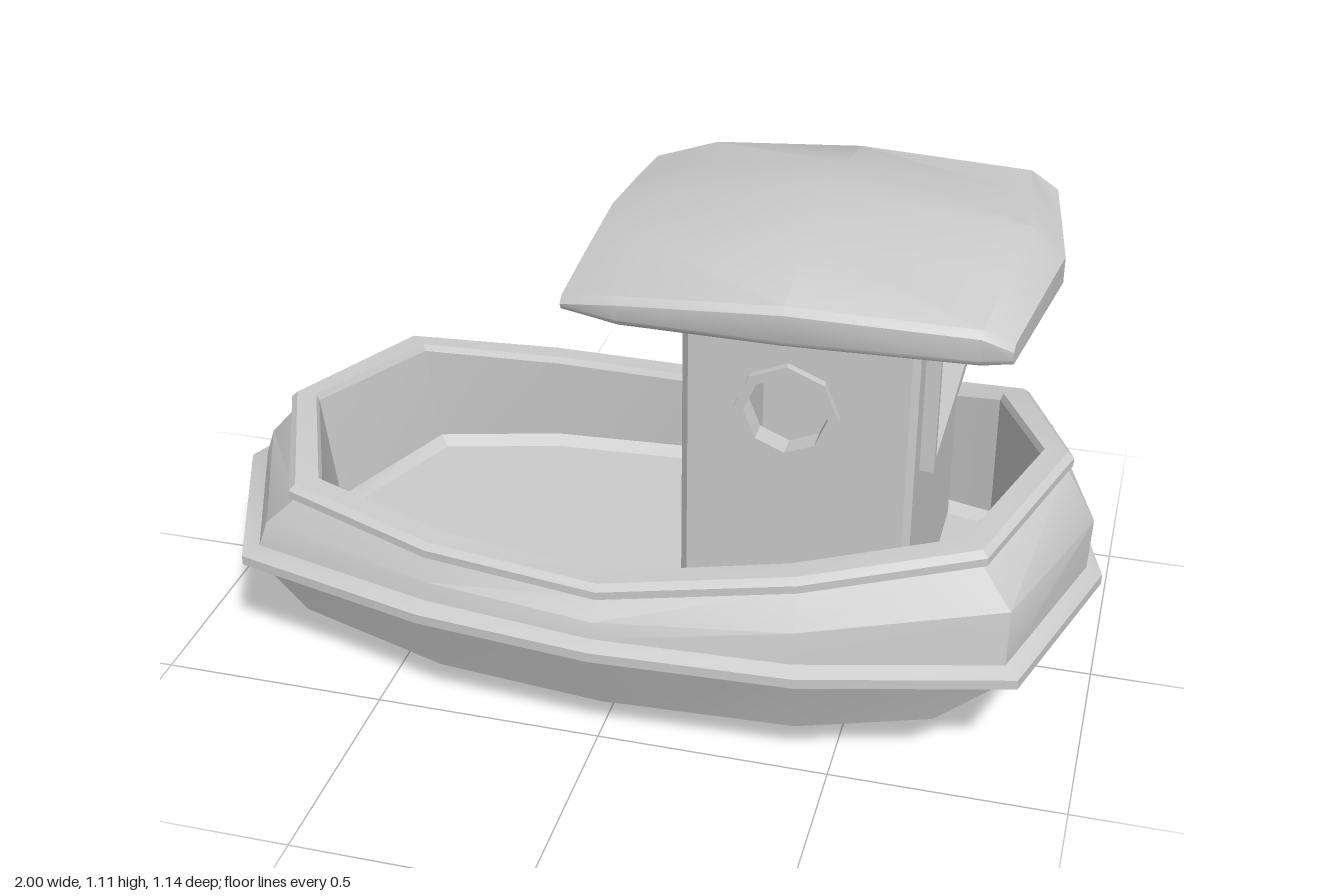
import * as THREE from 'three';
import { toCreasedNormals } from 'three/addons/utils/BufferGeometryUtils.js';

const material = new THREE.MeshStandardMaterial({ color: 0xcccccc });

// Skins a list of closed rings of [x, y, z] points, with soft normals and sharp creases.
function loft(rings, crease = 0.5) {
  const pos = [];
  const tri = new THREE.Triangle();
  const add = (...p) => {
    p.forEach((q, i) => [tri.a, tri.b, tri.c][i].set(...q));
    if (tri.getArea() > 1e-7) p.forEach((q) => pos.push(...q));
  };
  for (let r = 0; r < rings.length - 1; r++) {
    const n = rings[r].length;
    for (let i = 0; i < n; i++) {
      const j = (i + 1) % n;
      const a = rings[r][i], b = rings[r][j], c = rings[r + 1][j], d = rings[r + 1][i];
      add(a, b, c);
      add(a, c, d);
    }
  }
  const geo = new THREE.BufferGeometry();
  geo.setAttribute('position', new THREE.Float32BufferAttribute(pos, 3));
  return toCreasedNormals(geo, crease);
}

// Half outline from stern tip to bow tip; y is a list or one level.
const half = (x, y, z) => x.map((v, i) => [v, Array.isArray(y) ? y[i] : y, z[i]]);
// Mirrors a half outline into a full ring.
const full = (h) => [...h, ...h.slice(1, -1).reverse().map(([x, y, z]) => [x, y, -z])];
// Shrinks an outline by about d and lifts it by dy.
const inset = (h, d, dy) => h.map(([x, y, z]) => [x * (1 - d / 0.88), y + dy, z * (1 - d / 0.48)]);
const level = (h, y) => h.map(([x, , z]) => [x, y, z]);
const collapse = (h, y) => h.map(([x, , ], i) => [x, Array.isArray(y) ? y[i] : y, 0]);

function polygon(points) {
  return points.map(([x, y]) => new THREE.Vector2(x, y));
}
const rect = (x0, x1, y0, y1) => polygon([[x0, y0], [x1, y0], [x1, y1], [x0, y1]]);
const octagon = (x, y, r) => polygon(Array.from({ length: 8 }, (_, i) => {
  const a = (i * Math.PI) / 4;
  return [x + r * Math.cos(a), y + r * Math.sin(a)];
}));

// Flat plate with an optional hole.
function plate(outline, hole, depth) {
  const shape = new THREE.Shape(outline);
  if (hole) shape.holes.push(new THREE.Path(hole));
  return new THREE.ExtrudeGeometry(shape, { depth, bevelEnabled: false });
}

function addMesh(parent, name, geometry) {
  const mesh = new THREE.Mesh(geometry, material);
  mesh.name = name;
  parent.add(mesh);
  return mesh;
}

function buildHull() {
  const hull = new THREE.Group();
  hull.name = 'hull';
  const part = (name, halves) => addMesh(hull, name, loft(halves.map(full)));

  const bottom = half([-0.81, -0.72, -0.37, 0, 0.42, 0.7, 0.78],
    [0.1, 0.11, 0.085, 0.075, 0.08, 0.11, 0.1], [0, 0.36, 0.45, 0.475, 0.46, 0.4, 0]);
  const waist = half([-0.96, -0.81, -0.38, 0, 0.42, 0.84, 0.965], 0.235,
    [0, 0.385, 0.495, 0.54, 0.52, 0.41, 0]);
  const rubOuter = half([-1, -0.84, -0.39, 0, 0.43, 0.87, 1], 0.243,
    [0, 0.415, 0.53, 0.57, 0.55, 0.435, 0]);
  const bulge = half([-0.94, -0.79, -0.38, 0, 0.42, 0.84, 0.97],
    [0.34, 0.34, 0.32, 0.315, 0.35, 0.4, 0.4], [0, 0.38, 0.485, 0.53, 0.51, 0.395, 0]);
  const sheer = half([-0.87, -0.72, -0.38, 0, 0.41, 0.77, 0.9],
    [0.42, 0.405, 0.37, 0.35, 0.415, 0.475, 0.525], [0, 0.365, 0.46, 0.49, 0.455, 0.35, 0]);
  const floor = half([-0.78, -0.65, -0.37, 0, 0.4, 0.72, 0.82], 0.185,
    [0, 0.34, 0.42, 0.445, 0.415, 0.33, 0]);
  const railInner = inset(sheer, 0.055, 0.02);
  const floorInner = inset(floor, 0.03, -0.02);

  part('lowerHull', [collapse(bottom, [0.1, 0.095, 0.035, 0, 0.048, 0.095, 0.1]), bottom, waist]);
  part('rubRail', [waist, rubOuter, level(rubOuter, 0.265), level(waist, 0.28)]);
  part('bulwark', [level(waist, 0.28), bulge, sheer]);
  part('topRail', [sheer, inset(sheer, -0.014, 0.004), inset(sheer, -0.014, 0.022),
    inset(sheer, 0, 0.035), inset(sheer, 0.048, 0.035), railInner]);
  part('innerWall', [railInner, floor]);
  part('deck', [floor, floorInner, collapse(floorInner, 0.165)]);
  return hull;
}

function buildCabin() {
  const cabin = new THREE.Group();
  cabin.name = 'cabin';
  const x0 = 0.14, x1 = 0.62, zw = 0.35, y0 = 0.16, y1 = 0.96, t = 0.03, c = 0.015;

  // Side walls with round windows and their rims
  for (const s of [1, -1]) {
    const side = s > 0 ? 'left' : 'right';
    const wall = plate(rect(x0 + t, x1 - t, y0, y1), octagon(0.36, 0.77, 0.095), t);
    addMesh(cabin, side + 'Wall', wall).position.z = s > 0 ? zw - t : -zw;
    const rim = plate(octagon(0.36, 0.77, 0.108), octagon(0.36, 0.77, 0.086), 0.052);
    addMesh(cabin, side + 'PortholeRim', rim).position.z = s > 0 ? zw - 0.034 : -zw - 0.018;
  }

  // Front wall with a wide window, plain back wall
  const front = plate(rect(-zw + t, zw - t, y0, y1), rect(-0.245, 0.245, 0.635, 0.885), t);
  addMesh(cabin, 'frontWall', front.rotateY(Math.PI / 2)).position.x = x1 - t;
  const frame = plate(rect(-0.26, 0.26, 0.62, 0.905), rect(-0.237, 0.237, 0.643, 0.88), 0.064);
  addMesh(cabin, 'windowFrame', frame.rotateY(Math.PI / 2)).position.x = x1 - 0.034;
  const back = plate(rect(-zw + t, zw - t, y0, y1), null, t);
  addMesh(cabin, 'backWall', back.rotateY(Math.PI / 2)).position.x = x0;

  // Corner posts with a chamfered outer edge
  const post = polygon([[0, 0], [t, 0], [t, t - c], [t - c, t], [0, t]]);
  [[x1 - t, zw - t, -1], [x1 - t, -zw + t, 0], [x0 + t, -zw + t, 1], [x0 + t, zw - t, 2]]
    .forEach(([x, z, turn]) => {
      const geo = plate(post, null, y1 - y0).rotateX(-Math.PI / 2);
      const mesh = addMesh(cabin, 'cornerPost', geo);
      mesh.position.set(x, y0, z);
      mesh.rotation.y = (turn * Math.PI) / 2;
    });
  return cabin;
}

function buildRoof() {
  // Stations: x, half width, edge height, ridge height, forward bow at the middle
  const stations = [
    [-0.1, 0.385, 0.98, 1.02, 0], [0.03, 0.425, 1.012, 1.06, 0], [0.36, 0.43, 1.035, 1.11, 0],
    [0.74, 0.412, 1.025, 1.07, 0.04], [0.8, 0.39, 0.995, 1.01, 0.055],
  ];
  const base = 0.953, b = 0.014;
  const rings = stations.map(([x, w, edge, ridge, bow]) => {
    const side = [[w - 0.008, base], [w, base + 0.012], [w, edge - b], [w - b, edge],
      [w / 2, edge + (ridge - edge) * 0.54], [0, ridge]];
    const loop = [...side.map(([z, y]) => [-z, y]), ...side.slice(0, -1).reverse(), [0, base]];
    return loop.map(([z, y]) => [x + bow * (1 - Math.abs(z) / w), y, z]);
  });
  const cap = (ring, x) => ring.map(() => [x, 0.98, 0]);
  return loft([cap(rings[0], -0.1), ...rings, cap(rings[4], 0.855)], 0.6);
}

export function createModel() {
  const boat = new THREE.Group();
  boat.name = 'boat';
  boat.add(buildHull(), buildCabin());
  addMesh(boat, 'roof', buildRoof());
  return boat;
}
